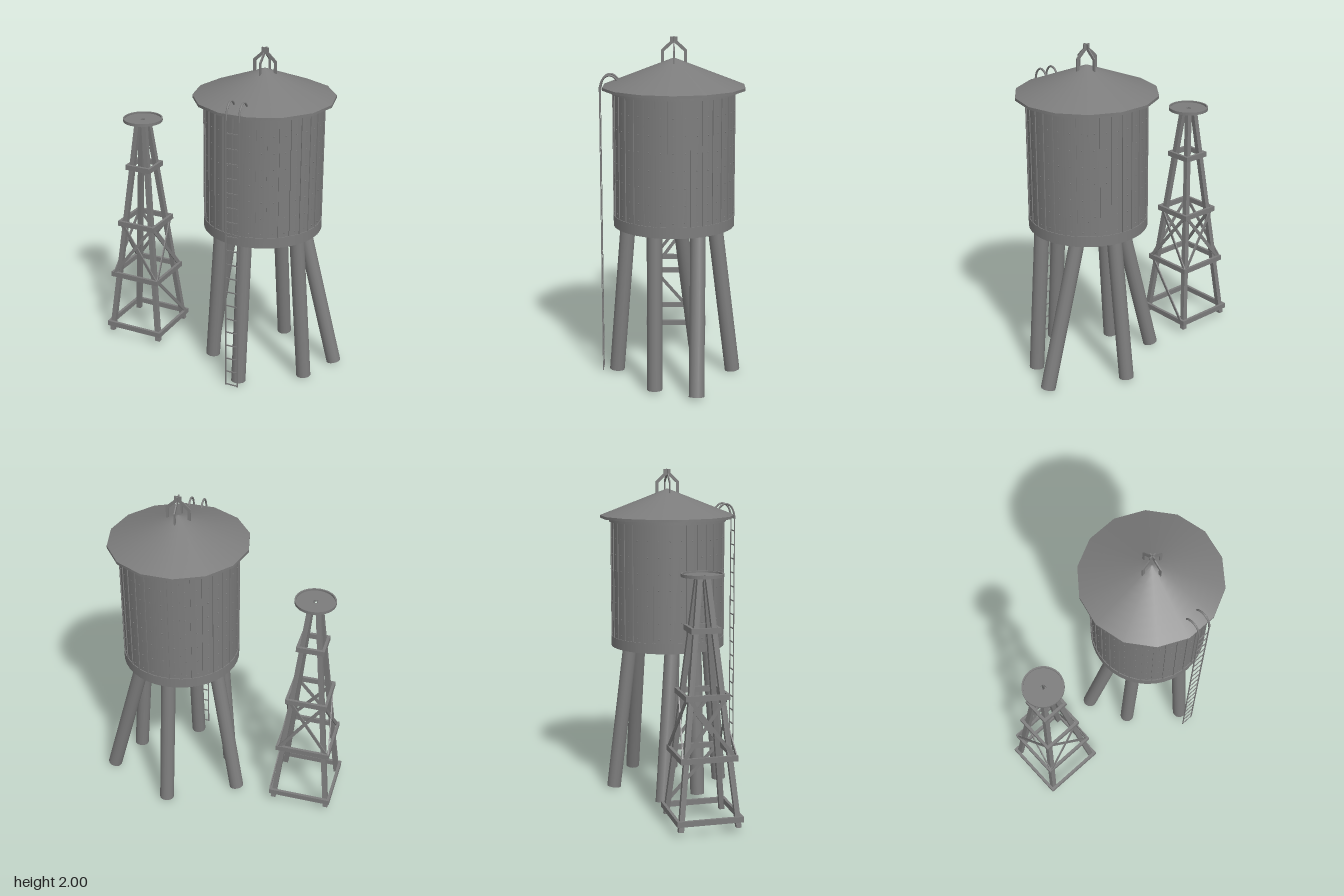
import * as THREE from 'three';
import { mergeGeometries } from 'three/addons/utils/BufferGeometryUtils.js';

const darkGrey = new THREE.MeshStandardMaterial({ color: 0x7c7c7c });
const V = (x, y, z) => new THREE.Vector3(x, y, z);

function add(parent, name, geometry, x = 0, y = 0, z = 0) {
  const mesh = new THREE.Mesh(geometry, darkGrey);
  mesh.name = name;
  mesh.position.set(x, y, z);
  parent.add(mesh);
  return mesh;
}

// Straight member between two points: w sideways, h upright
function beam(parent, name, a, b, w, h) {
  const mesh = add(parent, name, new THREE.BoxGeometry(w, h, a.distanceTo(b)));
  mesh.position.copy(a).lerp(b, 0.5);
  mesh.lookAt(b);
}

// Round log between two points
function log(parent, name, a, b, r) {
  const mesh = add(parent, name, new THREE.CylinderGeometry(r, r, a.distanceTo(b), 14));
  mesh.position.copy(a).lerp(b, 0.5);
  mesh.quaternion.setFromUnitVectors(V(0, 1, 0), b.clone().sub(a).normalize());
}

function createTank() {
  const tank = new THREE.Group();
  tank.name = 'waterTank';
  const R = 0.347;

  // Shell with bottom band and top ring
  add(tank, 'tankWall', new THREE.CylinderGeometry(R, R, 0.77, 40), 0, 1.315, 0);
  add(tank, 'bottomBand', new THREE.CylinderGeometry(0.352, 0.352, 0.063, 40), 0, 0.9445, 0);
  add(tank, 'topRing', new THREE.CylinderGeometry(0.36, 0.36, 0.022, 40), 0, 1.694, 0);

  // Vertical seams and rows of small rivets
  const seams = [], rivets = [], count = 32;
  for (let i = 0; i < count; i++) {
    const a = ((i + 0.5) / count) * Math.PI * 2;
    seams.push(new THREE.BoxGeometry(0.007, 0.715, 0.01).translate(0, 1.333, R).rotateY(a));
    for (let j = 0; j < 7; j++) {
      rivets.push(new THREE.SphereGeometry(0.0035, 6, 4)
        .translate(0, 1.0 + j * 0.098, R + 0.001).rotateY(a + Math.PI / count));
    }
  }
  add(tank, 'wallSeams', mergeGeometries(seams));
  add(tank, 'rivets', mergeGeometries(rivets));

  // Fourteen-sided roof with a thin eave
  const roofR = 0.414, start = Math.PI / 2;
  add(tank, 'roof', new THREE.ConeGeometry(roofR, 0.162, 14, 8, true, start), 0, 1.801, 0);
  add(tank, 'eave', new THREE.CylinderGeometry(roofR, roofR, 0.016, 14, 1, false, start), 0, 1.712, 0);

  // Finial: four bent flat straps
  const strap = new THREE.Shape([
    [0.056, 1.845], [0.073, 1.845], [0.073, 1.926], [0.021, 1.974], [0.021, 2.0],
    [0.004, 2.0], [0.004, 1.964], [0.056, 1.917],
  ].map(([x, y]) => new THREE.Vector2(x, y)));
  for (let i = 0; i < 4; i++) {
    const geo = new THREE.ExtrudeGeometry(strap, { depth: 0.007, bevelEnabled: false });
    add(tank, 'finialStrap', geo.translate(0, 0, -0.0035).rotateY((i * Math.PI) / 2));
  }

  // Six splayed log legs: foot x, z then top x, z
  [
    [0.008, 0.34, 0.008, 0.265], [0.008, -0.35, 0.008, -0.235],
    [-0.275, 0.12, -0.215, 0.115], [0.335, 0.105, 0.265, 0.105],
    [-0.39, -0.13, -0.21, -0.025], [0.437, -0.135, 0.19, -0.14],
  ].forEach(([fx, fz, tx, tz]) => log(tank, 'tankLeg', V(fx, 0.012, fz), V(tx, 0.94, tz), 0.044));

  // Ladder: thin rails with thicker hooks over the eave
  const ladder = new THREE.Group();
  ladder.name = 'ladder';
  const zL = 0.422, xs = [-0.037, 0.041];
  for (const x of xs) {
    beam(ladder, 'ladderRail', V(x, 0.015, zL), V(x, 1.7, zL), 0.007, 0.005);
    const hook = new THREE.CubicBezierCurve3(
      V(x, 1.69, zL), V(x, 1.8, zL - 0.005), V(x, 1.805, zL - 0.08), V(x, 1.745, zL - 0.105));
    add(ladder, 'ladderHook', new THREE.TubeGeometry(hook, 16, 0.006, 8));
  }
  for (let i = 0; i < 19; i++) {
    const y = 0.022 + i * 0.0885;
    beam(ladder, 'ladderRung', V(xs[0], y, zL), V(xs[1], y, zL), 0.005, 0.007);
  }
  tank.add(ladder);
  tank.position.set(0.264, 0, -0.009);
  return tank;
}

function createTower() {
  const tower = new THREE.Group();
  tower.name = 'latticeTower';
  const y0 = 0.03, y1 = 1.44;
  const spread = (y) => THREE.MathUtils.mapLinear(y, y0, y1, 0.168, 0.022);

  // Four square legs leaning inward
  for (const sx of [-1, 1]) for (const sz of [-1, 1]) {
    const geo = new THREE.BoxGeometry(0.03, y1 - y0, 0.03).translate(0, (y0 + y1) / 2, 0);
    const p = geo.attributes.position;
    for (let i = 0; i < p.count; i++) {
      const s = spread(p.getY(i));
      p.setXYZ(i, p.getX(i) + sx * s, p.getY(i), p.getZ(i) + sz * s);
    }
    geo.computeVertexNormals();
    add(tower, 'towerLeg', geo);
  }

  // Square frames of horizontal bars around the legs
  for (const [y, half] of [[0.08, 0.193], [0.43, 0.166], [0.775, 0.128], [1.145, 0.085]]) {
    for (let i = 0; i < 4; i++) {
      const len = i % 2 ? half * 2 - 0.034 : half * 2;
      const geo = new THREE.BoxGeometry(len, 0.032, 0.017).translate(0, y, half - 0.0085);
      add(tower, 'frameBar', geo.rotateY((i * Math.PI) / 2));
    }
  }

  // Crossed braces in the middle bay of each face
  for (let i = 0; i < 4; i++) {
    const face = new THREE.Group();
    face.name = 'crossBraces';
    for (const s of [-1, 1]) {
      const out = s * 0.004 + 0.01;
      beam(face, 'brace', V(-s * 0.145, 0.44, 0.145 + out), V(s * 0.105, 0.77, 0.105 + out), 0.007, 0.02);
    }
    face.rotation.y = (i * Math.PI) / 2;
    tower.add(face);
  }
  // Single lower diagonal on one side
  beam(tower, 'lowerBrace', V(0.158, 0.43, 0.14), V(0.192, 0.09, -0.165), 0.007, 0.02);

  // Round top platform with a small square hole and a raised rim
  const disc = new THREE.Shape().absarc(0, 0, 0.12, 0, Math.PI * 2);
  const h = 0.013;
  disc.holes.push(new THREE.Path([[-h, -h], [-h, h], [h, h], [h, -h]].map(([x, y]) => new THREE.Vector2(x, y))));
  add(tower, 'platform', new THREE.ExtrudeGeometry(disc, { depth: 0.008, bevelEnabled: false, curveSegments: 24 })
    .rotateX(-Math.PI / 2), 0, 1.438, 0);
  const ring = new THREE.Shape().absarc(0, 0, 0.121, 0, Math.PI * 2);
  ring.holes.push(new THREE.Path().absarc(0, 0, 0.112, 0, Math.PI * 2, true));
  add(tower, 'platformRim', new THREE.ExtrudeGeometry(ring, { depth: 0.018, bevelEnabled: false, curveSegments: 24 })
    .rotateX(-Math.PI / 2), 0, 1.438, 0);

  tower.position.set(-0.55, 0, -0.012);
  return tower;
}

export function createModel() {
  const model = new THREE.Group();
  model.name = 'waterTankAndTower';
  model.add(createTank(), createTower());
  return model;
}
